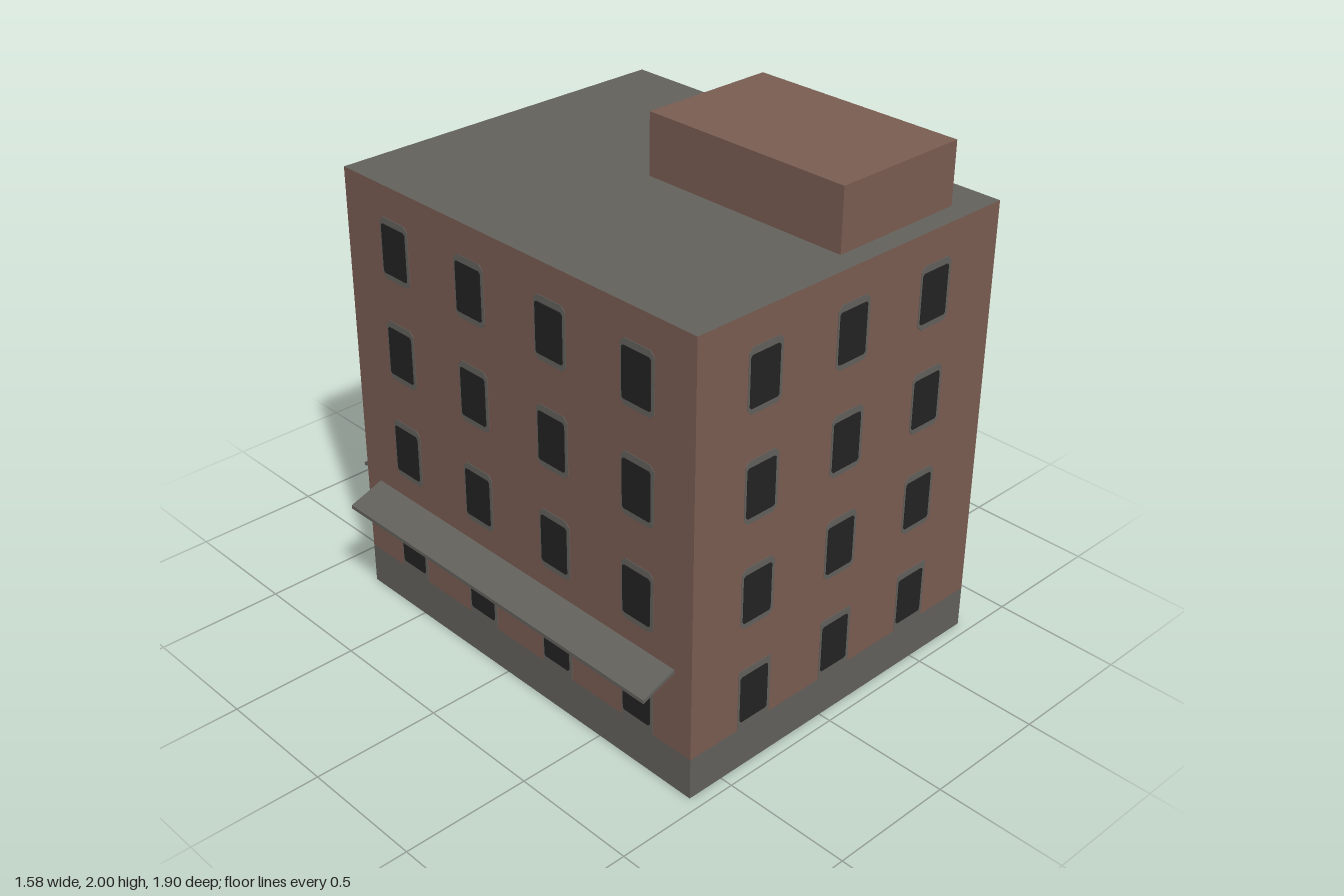
import * as THREE from 'three';

const X0 = -0.65, X1 = 0.79, Z0 = -0.81, Z1 = 0.95;
const ROOF = 1.76, BASE = 0.165;

const material = (name, color, side = THREE.FrontSide) => {
  const m = new THREE.MeshStandardMaterial({ color, side });
  m.name = name;
  return m;
};

// Rectangle with clipped corners, extruded evenly to both sides of its plane
function plate(w, y0, y1, cut, depth) {
  const h = w / 2;
  const shape = new THREE.Shape([
    [-h + cut, y0], [h - cut, y0], [h, y0 + cut], [h, y1 - cut],
    [h - cut, y1], [-h + cut, y1], [-h, y1 - cut], [-h, y0 + cut],
  ].map(([x, y]) => new THREE.Vector2(x, y)));
  return new THREE.ExtrudeGeometry(shape, { depth, bevelEnabled: false }).translate(0, 0, -depth / 2);
}

export function createModel() {
  const brick = material('brick', 0x7a5d53, THREE.DoubleSide);
  const concrete = material('concrete', 0x63615c, THREE.DoubleSide);
  const glass = material('darkGlass', 0x232323);

  const model = new THREE.Group();
  model.name = 'apartmentBlock';
  const add = (parent, name, geometry, mat) => {
    const mesh = new THREE.Mesh(geometry, mat);
    mesh.name = name;
    parent.add(mesh);
    return mesh;
  };

  const cx = (X0 + X1) / 2, cz = (Z0 + Z1) / 2;
  const width = X1 - X0, depth = Z1 - Z0;

  // Window columns (world x or z) and the glass bottoms of each floor
  const frontColumns = [-0.353, 0.055, 0.465];
  const sideColumns = [0.69, 0.28, -0.13, -0.54];
  const floors = [0.195, 0.606, 1.016, 1.422];

  // Each wall is built around its own centre, facing +z, then turned into place
  const walls = [
    { name: 'front', x: cx, z: Z1, turn: 0, length: width, columns: frontColumns.map(x => x - cx) },
    { name: 'back', x: cx, z: Z0, turn: Math.PI, length: width, columns: frontColumns.map(x => cx - x) },
    { name: 'left', x: X1, z: cz, turn: Math.PI / 2, length: depth, columns: sideColumns.map(z => cz - z) },
    { name: 'right', x: X0, z: cz, turn: -Math.PI / 2, length: depth, columns: sideColumns.map(z => z - cz) },
  ];
  for (const { name, x, z, turn, length, columns } of walls) {
    const wall = new THREE.Group();
    wall.name = name + 'Wall';
    wall.position.set(x, 0, z);
    wall.rotation.y = turn;
    model.add(wall);
    add(wall, 'brickwork', new THREE.PlaneGeometry(length, ROOF - BASE).translate(0, (ROOF + BASE) / 2, 0), brick);
    add(wall, 'plinth', new THREE.PlaneGeometry(length, BASE).translate(0, BASE / 2, 0), concrete);
    for (const column of columns) {
      floors.forEach((y, i) => {
        // The ground floor surrounds run down to the plinth
        const low = i === 0 ? BASE : y - 0.022;
        add(wall, 'windowSurround', plate(0.154, low, y + 0.216, i === 0 ? 0.004 : 0.018, 0.004), concrete).position.x = column + 0.003;
        add(wall, 'windowPane', plate(0.132, y, y + 0.19, 0.007, 0.008), glass).position.x = column;
      });
    }
  }

  // Flat roof, open underneath
  add(model, 'roof', new THREE.PlaneGeometry(width, depth).rotateX(-Math.PI / 2).translate(cx, ROOF, cz), concrete);

  // Rooftop stair house
  add(model, 'roofHouse', new THREE.BoxGeometry(0.56, 0.238, 0.88).translate(0.35, 1.881, 0.43), brick);

  // Sloping awnings: a thin slanted section drawn out along the wall
  const awning = (name, length) => {
    const section = new THREE.Shape([[0, 0.482], [0.14, 0.432], [0.14, 0.446], [0, 0.497]]
      .map(([x, y]) => new THREE.Vector2(x, y)));
    const geometry = new THREE.ExtrudeGeometry(section, { depth: length, bevelEnabled: false });
    return add(model, name, geometry.translate(0, 0, -length / 2), concrete);
  };
  const rightAwning = awning('rightAwning', 1.6);
  rightAwning.position.set(X0, 0, 0.07);
  rightAwning.rotation.y = Math.PI;
  const backAwning = awning('backAwning', 1.28);
  backAwning.position.set(0.07, 0, Z0);
  backAwning.rotation.y = Math.PI / 2;

  return model;
}
